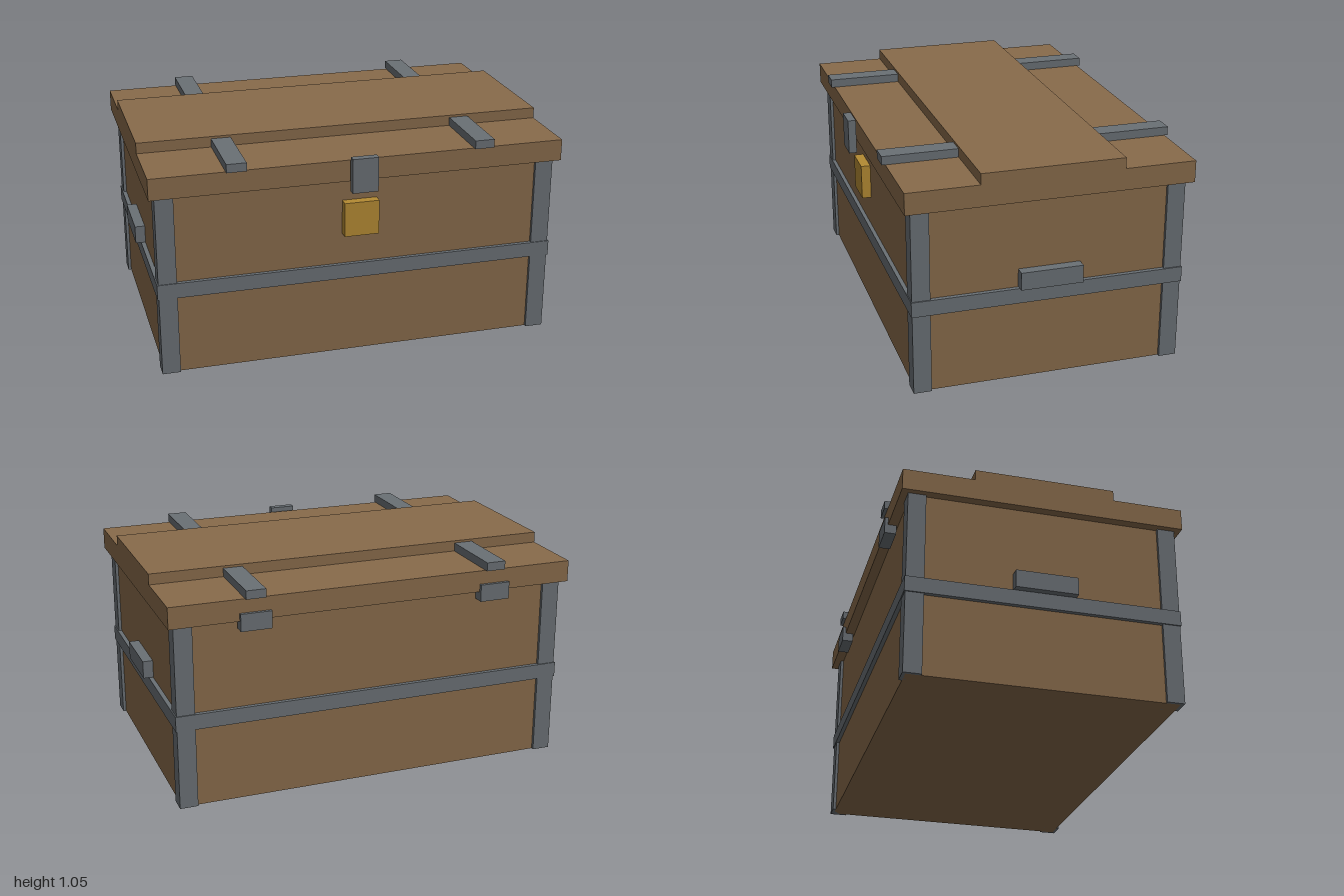
import * as THREE from 'three';

const material = (name, color) => {
  const m = new THREE.MeshStandardMaterial({ color });
  m.name = name;
  return m;
};

export function createModel() {
  const wood = material('brown wood', 0x886b4b);
  const iron = material('grey iron', 0x6a7075);
  const brass = material('brass', 0xb48a33);
  const chest = new THREE.Group();
  chest.name = 'chest';

  // Box given by its [min, max] extent along each axis
  const box = (name, mat, [x0, x1], [y0, y1], [z0, z1]) => {
    const mesh = new THREE.Mesh(new THREE.BoxGeometry(x1 - x0, y1 - y0, z1 - z0), mat);
    mesh.position.set((x0 + x1) / 2, (y0 + y1) / 2, (z0 + z1) / 2);
    mesh.name = name;
    chest.add(mesh);
  };

  // Body, slightly inset from the ironwork
  box('body', wood, [-0.952, 0.948], [0, 0.9], [-0.647, 0.615]);

  // Corner posts
  for (const x of [[-0.967, -0.88], [0.876, 0.963]])
    for (const z of [[-0.662, -0.577], [0.545, 0.63]])
      box('cornerPost', iron, x, [0, 0.895], z);

  // Band around the middle
  const bandY = [0.39, 0.464];
  for (const z of [[-0.667, -0.64], [0.608, 0.634]])
    box('longBand', iron, [-0.973, 0.969], bandY, z);
  for (const x of [[-0.973, -0.946], [0.942, 0.969]])
    box('sideBand', iron, x, bandY, [-0.64, 0.608]);

  // Lid with a raised centre plank
  box('lid', wood, [-0.996, 0.992], [0.895, 0.999], [-0.695, 0.66]);
  box('lidPlank', wood, [-0.996, 0.992], [0.999, 1.051], [-0.355, 0.319]);

  // Lid straps emerging on both sides of the plank, and hinges at the back
  for (const x of [-0.596, 0.591]) {
    const strapX = [x - 0.047, x + 0.047];
    box('frontStrap', iron, strapX, [0.999, 1.04], [0.31, 0.677]);
    box('backStrap', iron, strapX, [0.999, 1.04], [-0.711, -0.346]);
    box('hinge', iron, [x - 0.074, x + 0.074], [0.85, 0.933], [-0.711, -0.655]);
  }

  // Latch and lock plate
  box('latch', iron, [-0.064, 0.06], [0.852, 1.019], [0.674, 0.712]);
  box('lockPlate', brass, [-0.086, 0.082], [0.617, 0.785], [0.61, 0.66]);

  // Side handles
  for (const x of [[-1, -0.95], [0.946, 0.997]])
    box('handle', iron, x, [0.467, 0.553], [-0.165, 0.131]);

  return chest;
}
